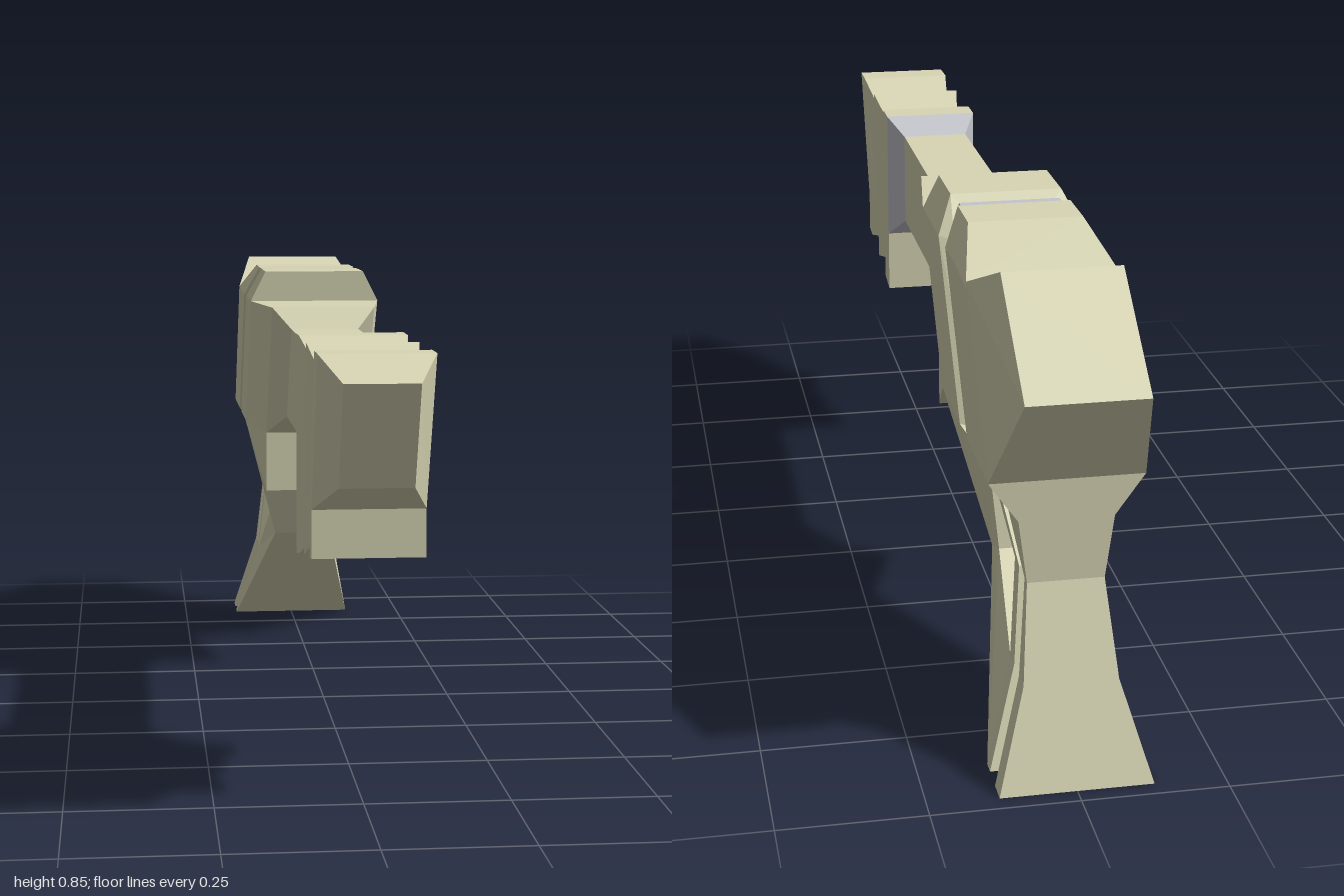
import * as THREE from 'three';

const cream = new THREE.MeshStandardMaterial({ color: 0xd8d6b4, flatShading: true });
const grey = new THREE.MeshStandardMaterial({ color: 0xc4c4cc, flatShading: true });

// Loft through mirrored sections. Each section lists [z, y, halfWidth] points.
function loft(name, sections, material = cream) {
  const pos = [];
  const quad = (a, b, c, d) => pos.push(...a, ...b, ...c, ...a, ...c, ...d);
  const right = sections.map(s => s.map(([z, y, w]) => [w, y, z]));
  const left = sections.map(s => s.map(([z, y, w]) => [-w, y, z]));
  const loops = right.map((r, k) => [...r, ...[...left[k]].reverse()]);
  for (let k = 0; k < loops.length - 1; k++) {
    const p = loops[k], q = loops[k + 1], n = p.length;
    for (let i = 0; i < n; i++) {
      const j = (i + 1) % n;
      quad(p[i], p[j], q[j], q[i]);
    }
  }
  // end caps
  const e = right.length - 1;
  for (let i = 0; i < right[0].length - 1; i++) {
    quad(right[0][i], left[0][i], left[0][i + 1], right[0][i + 1]);
    quad(right[e][i], right[e][i + 1], left[e][i + 1], left[e][i]);
  }
  const g = new THREE.BufferGeometry();
  g.setAttribute('position', new THREE.Float32BufferAttribute(pos, 3));
  g.computeVertexNormals();
  const mesh = new THREE.Mesh(g, material);
  mesh.name = name;
  return mesh;
}

export function createModel() {
  const group = new THREE.Group();
  group.name = 'model';

  // Muzzle: tapered tip, then ribs as [topZ, topY, midZ, bottomZ, bottomY, halfWidth]
  group.add(loft('muzzleTip', [
    [[1, 0.73, 0.06], [0.93, 0.56, 0.06]],
    [[0.93, 0.77, 0.093], [0.82, 0.51, 0.093]],
  ]));
  const ribs = [
    [0.93, 0.77, 0.82, 0.82, 0.43, 0.093],
    [0.87, 0.77, 0.785, 0.78, 0.425, 0.093],
    [0.78, 0.74, 0.725, 0.72, 0.44, 0.082],
    [0.72, 0.77, 0.68, 0.67, 0.41, 0.093],
    [0.65, 0.745, 0.63, 0.62, 0.42, 0.082],
    [0.57, 0.77, 0.57, 0.57, 0.395, 0.093],
    [0.51, 0.77, 0.51, 0.51, 0.385, 0.093],
  ];
  group.add(loft('ribbedMuzzle', ribs.map(([tz, ty, mz, bz, by, w]) =>
    [[tz, ty, w], [mz, 0.51, w], [bz, by, w]])));

  // Collar and barrel
  group.add(loft('collar', [
    [[0.51, 0.77, 0.093], [0.51, 0.51, 0.093]],
    [[0.45, 0.74, 0.065], [0.45, 0.555, 0.065]],
  ], grey));
  group.add(loft('barrel', [
    [[0.45, 0.74, 0.065], [0.45, 0.555, 0.065]],
    [[0.03, 0.74, 0.065], [-0.1, 0.555, 0.065]],
  ]));

  // Body: slanted front, grooved middle with raised roof, angled tail
  group.add(loft('bodyFront', [
    [[0.03, 0.74, 0.065], [-0.1, 0.555, 0.065]],
    [[0, 0.78, 0.1], [-0.2, 0.51, 0.1]],
    [[-0.21, 0.78, 0.13], [-0.42, 0.51, 0.13]],
  ]));
  group.add(loft('body', [
    [[-0.21, 0.84, 0.1], [-0.21, 0.78, 0.13], [-0.42, 0.51, 0.13]],
    [[-0.335, 0.84, 0.1], [-0.385, 0.78, 0.13], [-0.6, 0.51, 0.13]],
    [[-0.355, 0.82, 0.08], [-0.405, 0.775, 0.105], [-0.62, 0.51, 0.105]],
    [[-0.395, 0.82, 0.08], [-0.44, 0.775, 0.105], [-0.65, 0.51, 0.105]],
    [[-0.41, 0.84, 0.1], [-0.455, 0.78, 0.13], [-0.67, 0.51, 0.13]],
    [[-0.51, 0.84, 0.1], [-0.55, 0.782, 0.13], [-0.74, 0.51, 0.13]],
    [[-0.66, 0.785, 0.13], [-0.668, 0.774, 0.13], [-0.86, 0.51, 0.13]],
  ]));
  group.add(loft('bodyTail', [
    [[-0.66, 0.785, 0.13], [-0.86, 0.51, 0.13]],
    [[-0.8, 0.845, 0.1], [-1, 0.695, 0.1]],
  ]));
  group.add(loft('bodyBand', [
    [[-0.366, 0.832, 0.09], [-0.414, 0.78, 0.115], [-0.627, 0.508, 0.115]],
    [[-0.384, 0.832, 0.09], [-0.432, 0.78, 0.115], [-0.643, 0.508, 0.115]],
  ], grey));
  group.add(loft('lowerWedge', [
    [[-0.2, 0.51, 0.1], [-0.2, 0.39, 0.1]],
    [[-0.42, 0.51, 0.13], [-0.42, 0.508, 0.13]],
  ]));

  // Hand guard: a loop of [outer, inner] sections around the opening
  group.add(loft('handGuard', [
    [[-0.6, 0.51, 0.13], [-0.61, 0.44, 0.08]],
    [[-0.665, 0.44, 0.08], [-0.62, 0.435, 0.08]],
    [[-0.795, 0.33, 0.065], [-0.76, 0.33, 0.065]],
    [[-0.835, 0.17, 0.08], [-0.8, 0.175, 0.08]],
    [[-0.885, 0, 0.13], [-0.8, 0.17, 0.08]],
    [[-0.86, 0, 0.13], [-0.8, 0.17, 0.08]],
    [[-0.53, 0.245, 0.06], [-0.62, 0.28, 0.065]],
    [[-0.42, 0.51, 0.13], [-0.6, 0.44, 0.08]],
    [[-0.6, 0.51, 0.13], [-0.61, 0.44, 0.08]],
  ]));

  // Grip levels: [y, backZ, grooveBackZ, grooveFrontZ, halfWidth]
  const levels = [
    [0.51, -0.86, -0.67, -0.6, 0.13],
    [0.44, -0.86, -0.74, -0.665, 0.08],
    [0.33, -0.86, -0.84, -0.795, 0.065],
    [0.17, -0.913, -0.875, -0.835, 0.08],
    [0, -0.97, -0.93, -0.885, 0.13],
  ];
  group.add(loft('rearGrip', levels.map(([y, b, g, , w]) => [[b, y, w], [g, y, w]])));
  group.add(loft('gripGroove', levels.map(([y, , g, f, w]) =>
    [[g - 0.005, y + 0.002, w - 0.025], [f + 0.005, y + 0.002, w - 0.025]])));
  group.add(loft('gripBand', levels.map(([y, , g, f, w]) => {
    const c = (g + f) / 2;
    return [[c - 0.01, y + 0.001, w - 0.014], [c + 0.01, y + 0.001, w - 0.014]];
  }), grey));

  return group;
}
